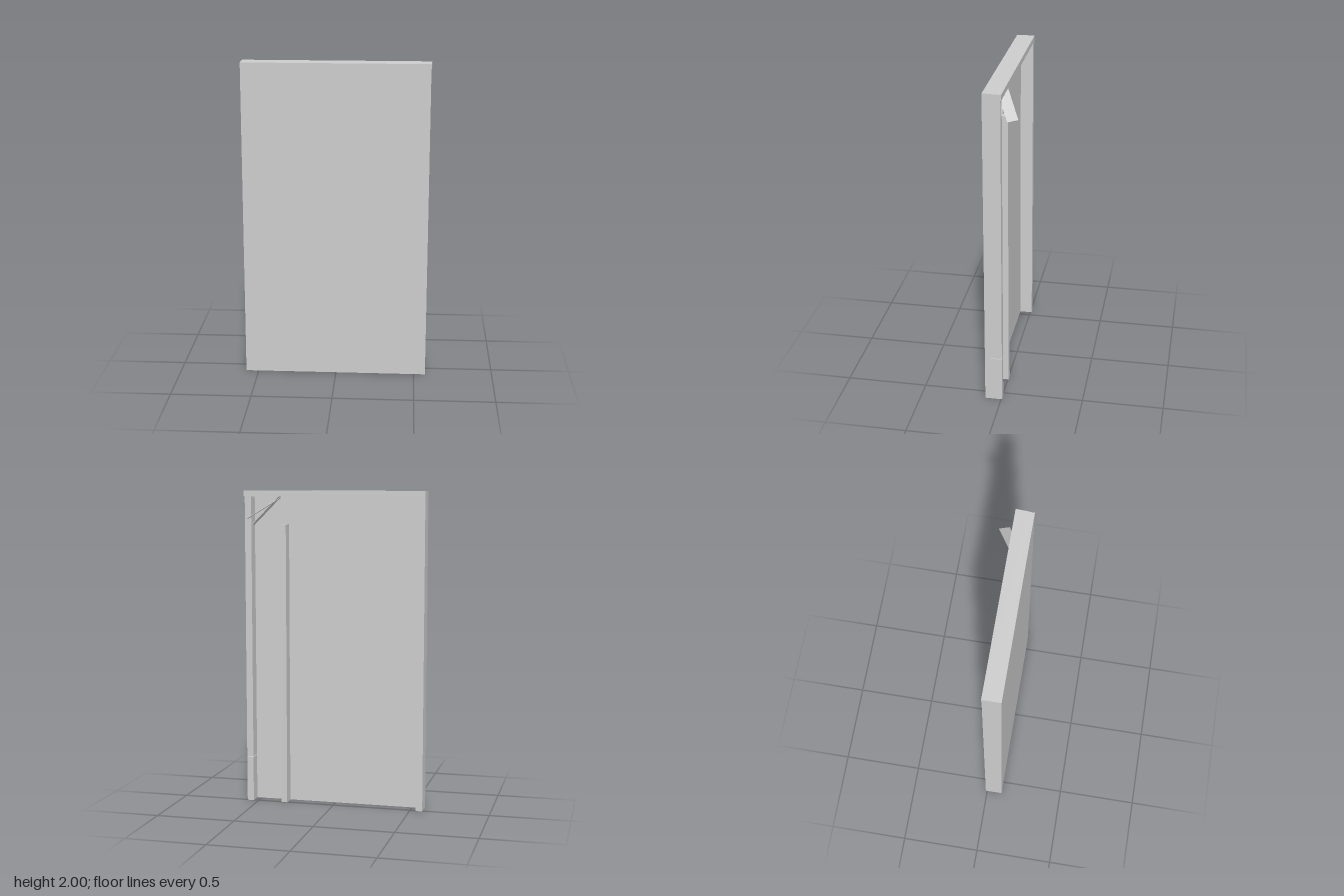
import * as THREE from 'three';

export function createModel() {
  const group = new THREE.Group();
  const material = new THREE.MeshStandardMaterial({ color: 0xcccccc, flatShading: true });

  const add = (name, geometry) => {
    const mesh = new THREE.Mesh(geometry, material);
    mesh.name = name;
    group.add(mesh);
    return mesh;
  };

  // Box given by its extents on each axis
  const block = (name, [x0, x1], [y0, y1], [z0, z1]) => {
    const mesh = add(name, new THREE.BoxGeometry(x1 - x0, y1 - y0, z1 - z0));
    mesh.position.set((x0 + x1) / 2, (y0 + y1) / 2, (z0 + z1) / 2);
    return mesh;
  };

  // Thin board: starts at a corner, runs along one direction, wide along another
  const plank = (name, corner, along, across, length, width, thickness) => {
    const d = new THREE.Vector3(...along).normalize();
    const n = new THREE.Vector3().crossVectors(d, new THREE.Vector3(...across)).normalize();
    const w = new THREE.Vector3().crossVectors(n, d);
    const geometry = new THREE.BoxGeometry(length, width, thickness);
    geometry.translate(length / 2, width / 2, 0);
    geometry.applyMatrix4(new THREE.Matrix4().makeBasis(d, w, n).setPosition(...corner));
    return add(name, geometry);
  };

  const left = 0.573, right = -0.58, postWidth = 0.042;
  const frameDepth = [-0.006, 0.07];
  const railBottom = 1.965;

  // Front sheet
  block('frontPanel', [right, left], [0, 2], [0.07, 0.1]);

  // Top rail, with a slightly skewed left end
  const rail = new THREE.Shape([
    new THREE.Vector2(right, 0.012), new THREE.Vector2(right, -0.07),
    new THREE.Vector2(0.575, -0.07), new THREE.Vector2(0.579, 0.012),
  ]);
  const railGeometry = new THREE.ExtrudeGeometry(rail, { depth: 2 - railBottom, bevelEnabled: false });
  railGeometry.rotateX(-Math.PI / 2);
  add('topRail', railGeometry).position.y = railBottom;

  // Side posts; the left one is cut through near the foot
  block('rightPost', [right, right + postWidth], [0, railBottom], [-0.01, 0.07]);
  block('leftPostFoot', [left - postWidth, left], [0, 0.288], frameDepth);
  block('leftPost', [left - postWidth, left], [0.292, railBottom], frameDepth);

  // Short inner stud
  block('innerStud', [0.305, 0.343], [0, 1.79], frameDepth);

  // Corner brace between post and rail, and a loose board swung out behind it
  plank('cornerBrace', [0.531, 1.787, 0.003], [-1, 1, 0], [0, 0, 1], 0.25, 0.066, 0.003);
  plank('looseBrace', [0.52, 1.835, -0.099], [-0.175, 0.118, 0.088], [0.025, -0.01, 0.061], 0.245, 0.066, 0.003);

  return group;
}
